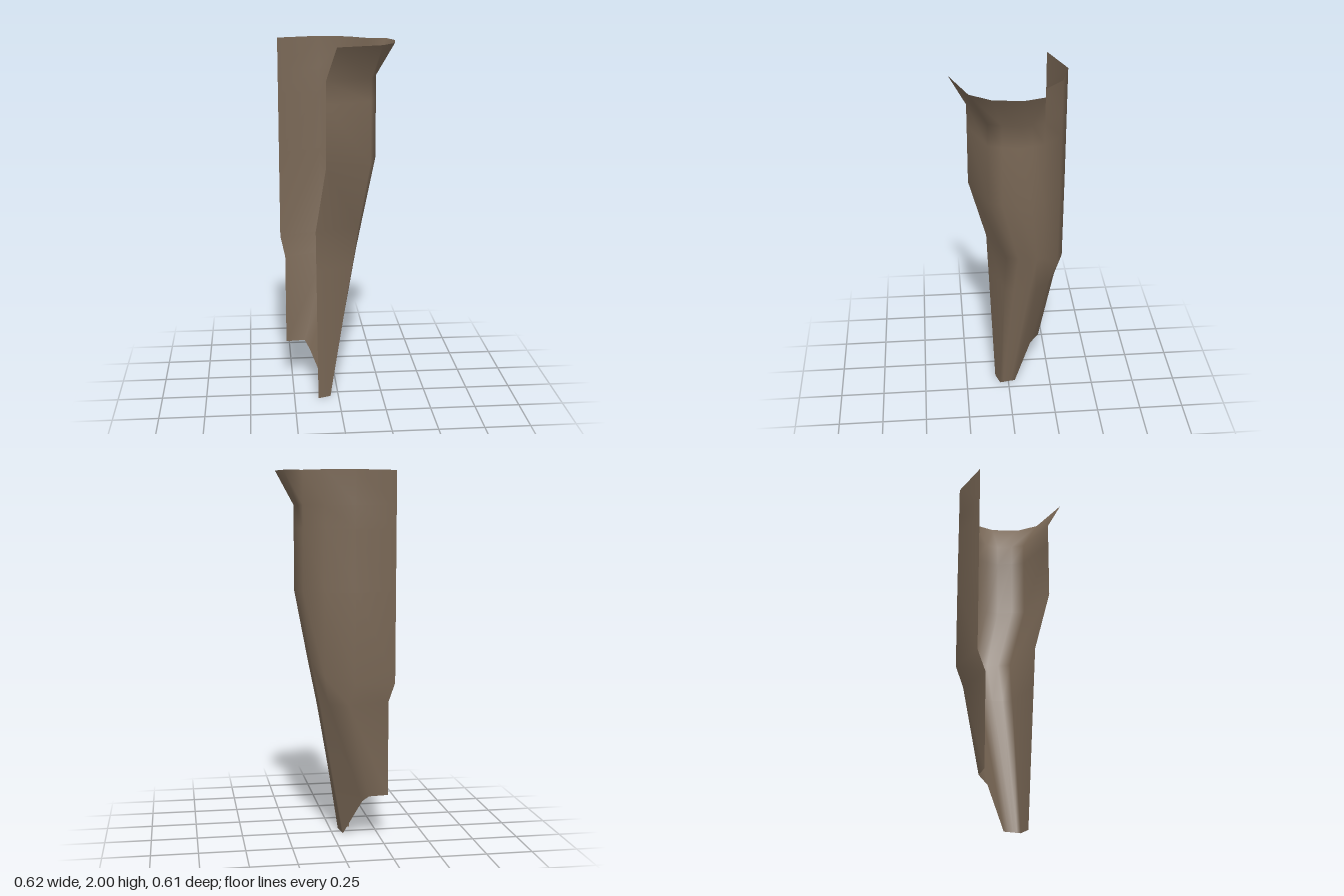
import * as THREE from 'three';

// Plan outlines as [x, z], running from the back-right edge round the left side to the front edge
const backPanel = [[-0.31, -0.225], [-0.08, -0.307], [0.075, -0.262], [0.176, -0.165]];
const rim = [...backPanel, [0.275, -0.153], [0.308, -0.045], [0.287, 0.105], [0.212, 0.212], [-0.028, 0.303]];
const body = [...backPanel, [0.195, -0.1], [0.208, -0.03], [0.19, 0.05], [0.165, 0.12], [-0.078, 0.214]];
const waist = [[-0.31, -0.225], [-0.08, -0.305], [0.073, -0.26], [0.135, -0.175],
  [0.142, -0.14], [0.145, -0.1], [0.132, -0.04], [0.113, 0.025], [-0.128, 0.118]];
const shin = [[-0.285, -0.178], [-0.055, -0.26], [0.045, -0.212], [0.085, -0.145],
  [0.091, -0.11], [0.096, -0.075], [0.089, -0.02], [0.077, 0.031], [-0.125, 0.108]];
const hem = [[-0.285, -0.178], [-0.178, -0.19], [-0.15, -0.14], [-0.06, -0.04],
  [-0.056, -0.015], [-0.052, 0.01], [-0.048, 0.03], [-0.045, 0.05], [-0.115, 0.075]];

// Each level pairs an outline with one height, or one height per column
const levels = [
  [rim, 2], [body, 1.82], [body, 1.7], [body, 1.37],
  [waist, [0.88, 0.88, 0.92, 1, 1, 1, 1, 1, 1]],
  [shin, 0.77],
  [hem, [0.25, 0.25, 0.21, 0, 0, 0, 0, 0, 0]],
];

// Join the levels into one open, smoothly shaded sheet
function loft(levels) {
  const positions = [], index = [];
  const columns = levels[0][0].length;
  levels.forEach(([outline, height], r) => {
    outline.forEach(([x, z], i) => {
      positions.push(x, Array.isArray(height) ? height[i] : height, z);
      if (r === 0 || i === 0) return;
      const d = r * columns + i, c = d - 1, b = d - columns, a = b - 1;
      index.push(a, b, c, b, d, c);
    });
  });
  const geometry = new THREE.BufferGeometry();
  geometry.setAttribute('position', new THREE.Float32BufferAttribute(positions, 3));
  geometry.setIndex(index);
  geometry.computeVertexNormals();
  return geometry;
}

export function createModel() {
  const group = new THREE.Group();
  group.name = 'taperedShell';
  const brown = new THREE.MeshStandardMaterial({ color: 0x7a6856, side: THREE.DoubleSide });
  brown.name = 'dull brown';

  // Open curved shell with a flared rim and a slanting hem
  const shell = new THREE.Mesh(loft(levels), brown);
  shell.name = 'curvedShell';
  group.add(shell);
  return group;
}
